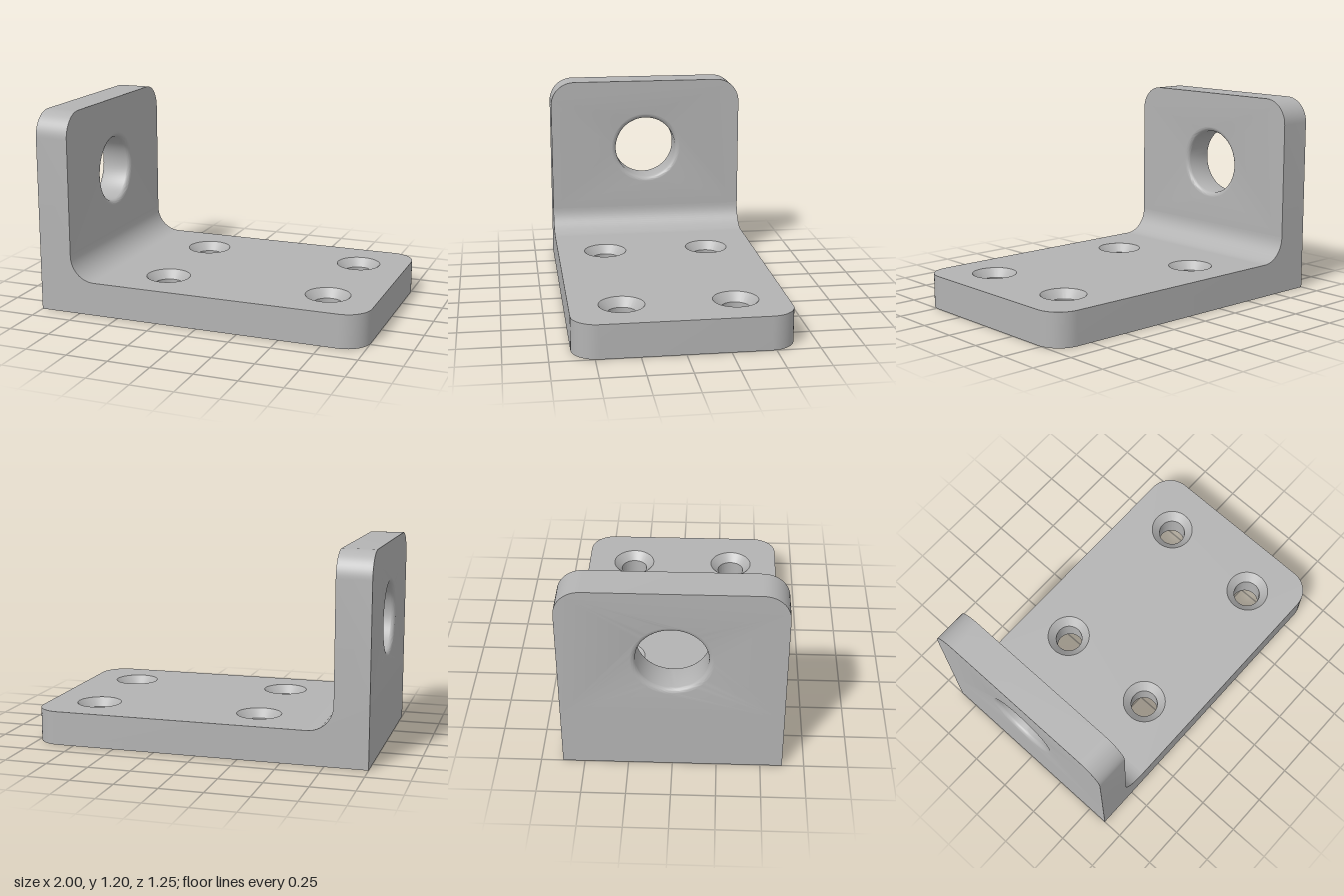
import * as THREE from 'three';
import { mergeGeometries, toCreasedNormals } from 'three/addons/utils/BufferGeometryUtils.js';

const T = 0.2;      // plate thickness
const HALF = 0.625; // half depth of the bracket
const R = 0.15;     // corner and bend radius
const SIDES = 64;   // segments around each hole

const V = (x, y) => new THREE.Vector2(x, y);

// Points of an arc, angles in degrees
function arc(cx, cy, r, from, to, n = 12) {
  return Array.from({ length: n + 1 }, (_, i) => {
    const a = THREE.MathUtils.degToRad(from + (to - from) * i / n);
    return V(cx + r * Math.cos(a), cy + r * Math.sin(a));
  });
}

// Side wall along an open path, raised along z
function wall(path, depth) {
  const pos = [];
  for (let i = 0; i < path.length - 1; i++) {
    const a = path[i], b = path[i + 1];
    pos.push(a.x, a.y, 0, b.x, b.y, 0, b.x, b.y, depth);
    pos.push(a.x, a.y, 0, b.x, b.y, depth, a.x, a.y, depth);
  }
  return new THREE.BufferGeometry().setAttribute('position', new THREE.Float32BufferAttribute(pos, 3));
}

// Flat face with round holes, facing +z or -z
function cap(outline, z, holes, radius, flip) {
  const shape = new THREE.Shape(outline);
  for (const h of holes) {
    shape.holes.push(new THREE.Path(arc(h.x, h.y, radius, 0, 360, SIDES).slice(0, -1)));
  }
  const g = new THREE.ShapeGeometry(shape).translate(0, 0, z);
  if (flip) g.index.array.reverse();
  return g;
}

// Solid plate: walled paths joined into an outline, plus holes turned from a
// bore profile of (radius, height) points running from front to back
function plate(paths, depth, holes = [], bore = [V(0, 0)]) {
  const outline = paths.flat();
  const parts = [
    cap(outline, depth, holes, bore[0].x, false),
    cap(outline, 0, holes, bore[bore.length - 1].x, true),
    ...paths.map(p => wall(p, depth)),
    ...holes.map(h => new THREE.LatheGeometry(bore, SIDES).rotateX(Math.PI / 2).translate(h.x, h.y, 0)),
  ].map(g => {
    const flat = g.index ? g.toNonIndexed() : g;
    flat.deleteAttribute('uv');
    flat.deleteAttribute('normal');
    return flat;
  });
  return toCreasedNormals(mergeGeometries(parts), Math.PI / 6);
}

export function createModel() {
  const metal = new THREE.MeshStandardMaterial({ color: 0xb3b3b3 });
  metal.name = 'greyMetal';
  const model = new THREE.Group();
  model.name = 'angleBracket';
  const add = (name, geometry) => {
    const mesh = new THREE.Mesh(geometry, metal);
    mesh.name = name;
    model.add(mesh);
  };

  // Base plate with four countersunk screw holes
  const screws = [-0.3, 0.7].flatMap(x => [-0.325, 0.325].map(y => V(x, y)));
  const countersink = [V(0.132, T), V(0.083, T - 0.049), V(0.083, 0)];
  const baseEdge = [
    V(-1 + T + R, -HALF),
    ...arc(1 - R, -HALF + R, R, -90, 0),
    ...arc(1 - R, HALF - R, R, 0, 90),
    V(-1 + T + R, HALF),
  ];
  add('basePlate', plate([baseEdge], T, screws, countersink).rotateX(-Math.PI / 2));

  // Upright plate with a large hole, rounded over on both faces
  const round = 0.03;
  const largeBore = [
    ...arc(0.2 + round, T - round, round, 90, 180, 8),
    ...arc(0.2 + round, round, round, 180, 270, 8),
  ];
  const uprightEdge = [
    V(HALF, T + R),
    ...arc(HALF - R, 1.2 - R, R, 0, 90),
    ...arc(-HALF + R, 1.2 - R, R, 90, 180),
    V(-HALF, T + R),
  ];
  add('uprightPlate', plate([uprightEdge], T, [V(0, 0.75)], largeBore)
    .rotateY(Math.PI / 2).translate(-1, 0, 0));

  // Corner joining both plates: square outside, filleted inside
  const outside = [V(-1, T + R), V(-1, 0), V(-1 + T + R, 0)];
  const fillet = arc(-1 + T + R, T + R, R, 270, 180, 16);
  add('filletedCorner', plate([outside, fillet], 2 * HALF).translate(0, 0, -HALF));

  return model;
}
